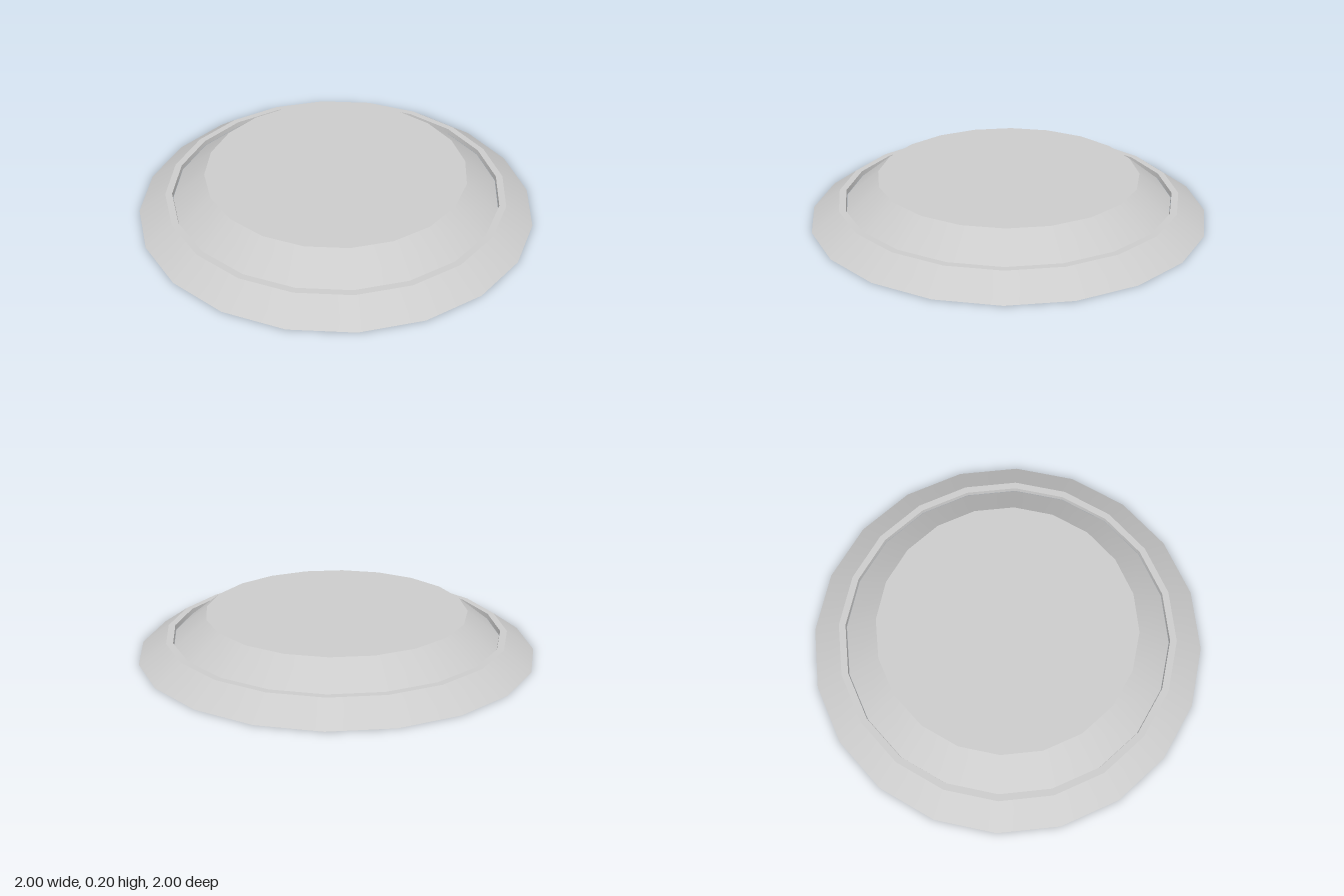
import * as THREE from 'three';
import { mergeGeometries } from 'three/addons/utils/BufferGeometryUtils.js';

const SIDES = 20;

// Turned shape: smooth around the axis, sharp at every profile corner
function turned(name, profile, material) {
  const bands = [];
  for (let i = 0; i < profile.length - 1; i++) {
    const pair = [profile[i], profile[i + 1]].map(([r, y]) => new THREE.Vector2(r, y));
    bands.push(new THREE.LatheGeometry(pair, SIDES));
  }
  const mesh = new THREE.Mesh(mergeGeometries(bands), material);
  mesh.name = name;
  return mesh;
}

export function createModel() {
  const group = new THREE.Group();
  group.name = 'steppedDisc';
  const solid = new THREE.MeshStandardMaterial({ color: 0xcccccc });
  const shell = new THREE.MeshStandardMaterial({ color: 0xcccccc, side: THREE.DoubleSide });

  // Sloping outer skirt, open below, with a narrow flat ledge and short inner wall
  group.add(turned('outerSkirt', [[1, 0], [0.862, 0.095], [0.828, 0.095], [0.826, 0.07]], shell));

  // Closed central body: flat base, upright wall, bevel and flat top
  group.add(turned('centralBody', [[0, 0], [0.824, 0], [0.824, 0.07], [0.66, 0.2], [0, 0.2]], solid));

  return group;
}
